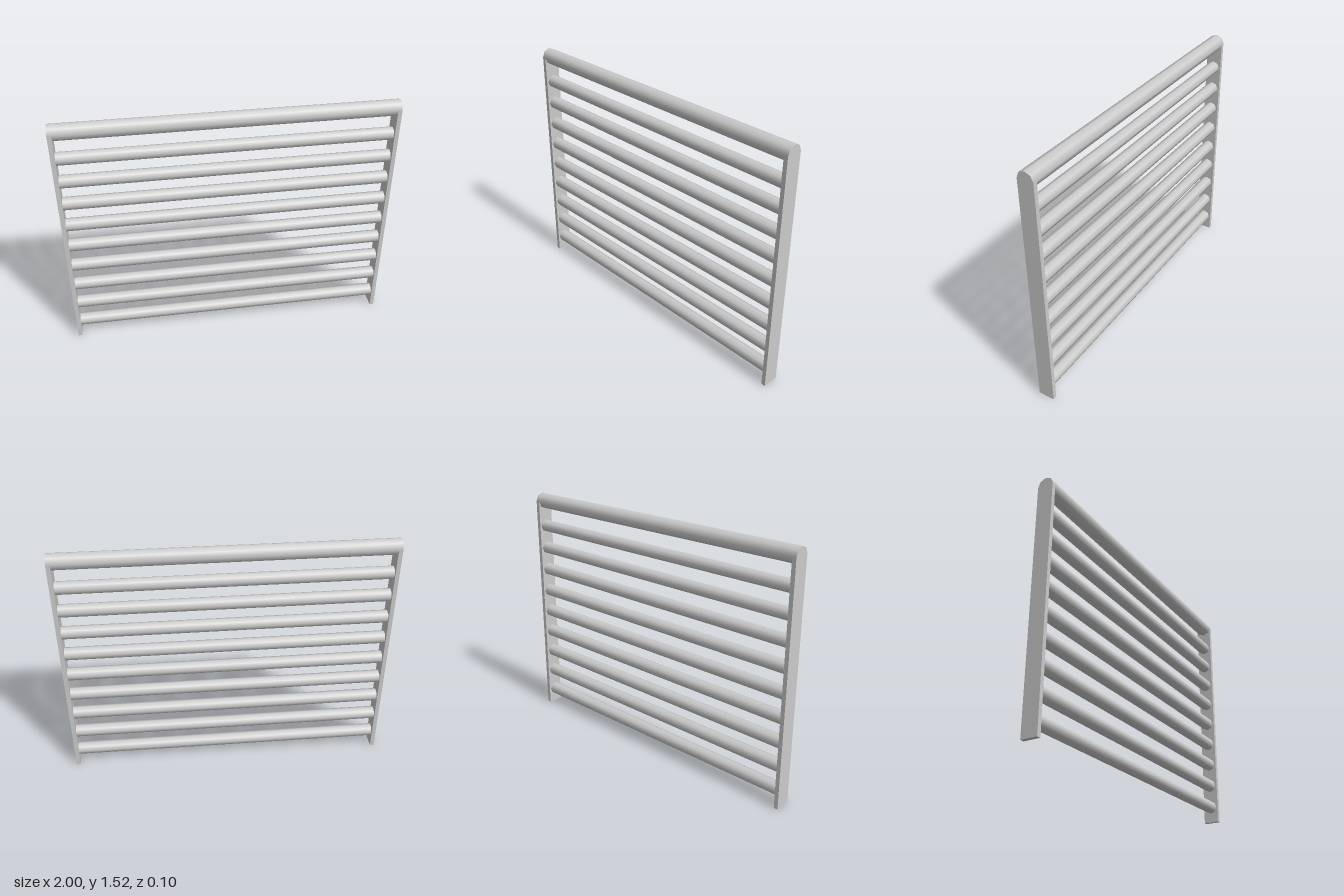
import * as THREE from 'three';

const material = new THREE.MeshStandardMaterial({ color: 0xcccccc });

export function createModel() {
  const model = new THREE.Group();
  model.name = 'railPanel';

  // Horizontal eight-sided bar, smooth along its sides
  const addBar = (name, radius, length, y) => {
    const geometry = new THREE.CylinderGeometry(radius, radius, length, 8).rotateZ(Math.PI / 2);
    const bar = new THREE.Mesh(geometry, material);
    bar.name = name;
    bar.position.y = y;
    model.add(bar);
  };

  // Thin flat posts at both ends
  const railY = 1.475;
  for (const side of [-1, 1]) {
    const post = new THREE.Mesh(new THREE.BoxGeometry(0.025, railY, 0.1), material);
    post.name = side > 0 ? 'leftPost' : 'rightPost';
    post.position.set(side * 0.9875, railY / 2, 0);
    model.add(post);
  }

  // Thick top rail, rounding off the post tops
  addBar('topRail', 0.05, 2, railY);

  // Nine evenly spaced rungs between the posts
  for (let i = 0; i < 9; i++) addBar(`rung${i + 1}`, 0.04, 1.95, 0.101 + i * 0.1508);

  return model;
}
